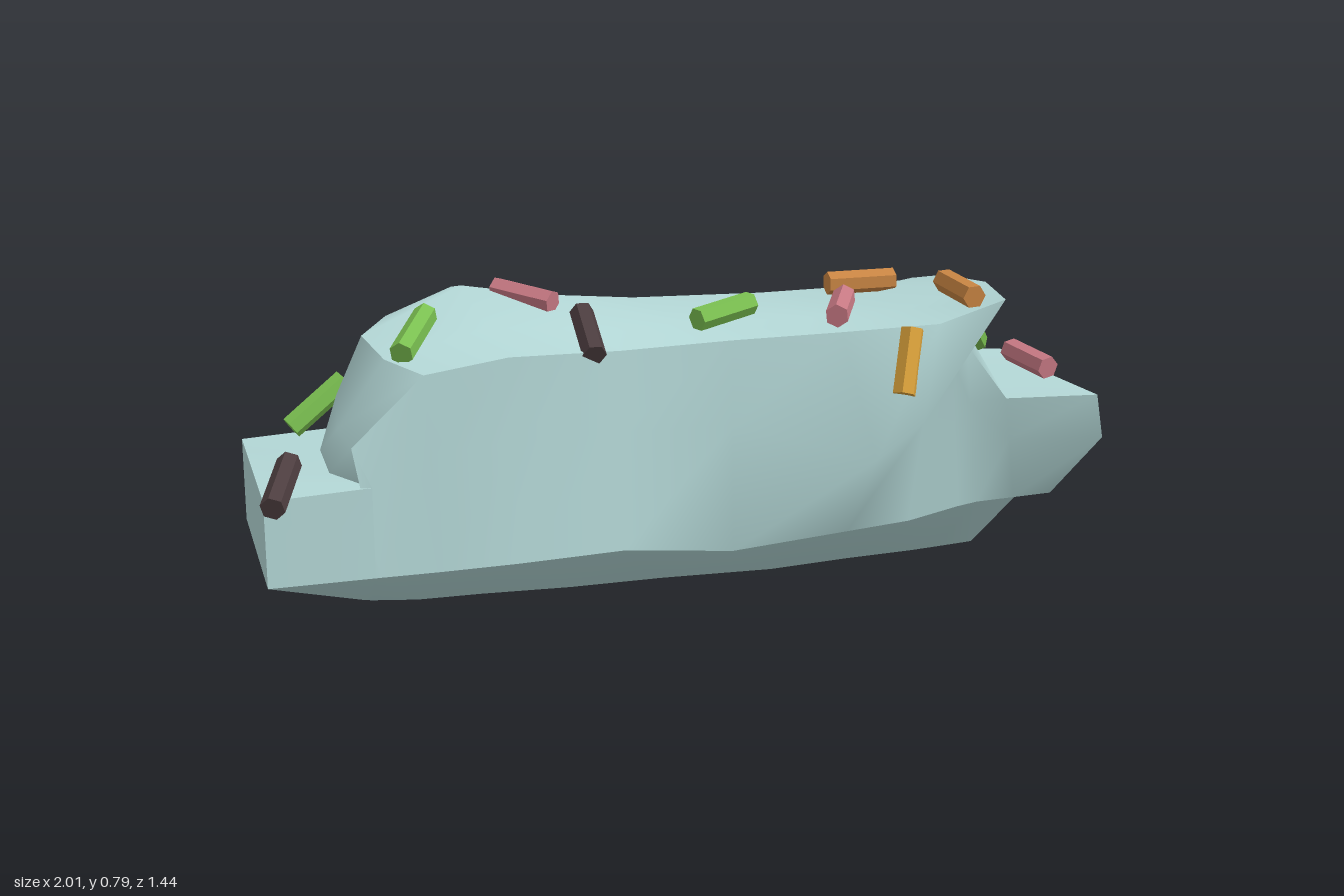
import * as THREE from 'three';

const flat = (name, color, extra = {}) => {
  const m = new THREE.MeshStandardMaterial({ color, ...extra });
  m.name = name;
  return m;
};
const lerp = (a, b, t) => a.map((v, i) => v + (b[i] - v) * t);
const steps = (a, b, ts) => ts.map(t => lerp(a, b, t));

// Smooth patch from rows of points: columns run right, rows run up, seen from outside
function patch(rows) {
  const n = rows[0].length, index = [];
  for (let r = 0; r < rows.length - 1; r++)
    for (let c = 0; c < n - 1; c++) {
      const a = r * n + c;
      index.push(a, a + 1, a + n + 1, a, a + n + 1, a + n);
    }
  const g = new THREE.BufferGeometry();
  g.setAttribute('position', new THREE.Float32BufferAttribute(rows.flat(2), 3));
  g.setIndex(index);
  g.computeVertexNormals();
  return g;
}

// Edge lines of the block, station by station from its right end to its left end
const frontLow = [
  [-0.96, 0.20, -0.28], [-0.75, 0.20, -0.17], [-0.74, 0.20, -0.165], [-0.62, 0.20, -0.10],
  [-0.46, 0.20, -0.02], [-0.20, 0.185, 0.05], [0.07, 0.14, 0.14], [0.26, 0.19, 0.33],
  [0.38, 0.21, 0.42], [0.50, 0.23, 0.47], [0.55, 0.235, 0.49], [0.64, 0.235, 0.53], [0.72, 0.24, 0.58]];
const frontTop = [
  [-0.96, 0.40, -0.28], [-0.75, 0.41, -0.17], [-0.78, 0.50, -0.20], [-0.63, 0.65, -0.13],
  [-0.47, 0.68, -0.03], [-0.20, 0.66, 0.04], [0.08, 0.65, 0.12], [0.26, 0.67, 0.30],
  [0.42, 0.69, 0.46], [0.52, 0.75, 0.57], [0.50, 0.63, 0.48], [0.54, 0.51, 0.57], [0.72, 0.51, 0.70]];
const backLow = [
  [-0.72, 0.20, -0.72], [-0.48, 0.165, -0.64], [-0.45, 0.16, -0.635], [-0.36, 0.155, -0.62],
  [-0.22, 0.15, -0.59], [-0.06, 0.145, -0.49], [0.10, 0.14, -0.38], [0.35, 0.125, -0.24],
  [0.57, 0.11, -0.11], [0.72, 0.15, 0.02], [0.78, 0.18, 0.07], [0.86, 0.19, 0.12], [1.00, 0.20, 0.23]];
const backTop = [
  [-0.72, 0.40, -0.72], [-0.50, 0.41, -0.61], [-0.45, 0.58, -0.54], [-0.42, 0.68, -0.54],
  [-0.22, 0.72, -0.54], [-0.06, 0.68, -0.44], [0.10, 0.66, -0.32], [0.38, 0.655, -0.14],
  [0.57, 0.67, 0.03], [0.73, 0.70, 0.12], [0.74, 0.60, 0.12], [0.82, 0.50, 0.12], [0.95, 0.50, 0.24]];
const bottomY = [0.2, 0.05, 0.045, 0.03, 0.02, 0.005, 0, 0.01, 0.025, 0.035, 0.04, 0.045];

// Inner points (back, front) of the curved step edges
const innerTop = {
  1: [[-0.68, 0.42, -0.46], [-0.77, 0.42, -0.30]],
  2: [[-0.65, 0.55, -0.43], [-0.75, 0.52, -0.29]],
  3: [[-0.58, 0.68, -0.42], [-0.63, 0.66, -0.27]],
  9: [[0.67, 0.74, 0.27], [0.64, 0.75, 0.42]],
  10: [[0.69, 0.62, 0.26], [0.63, 0.62, 0.38]],
  11: [[0.76, 0.50, 0.27], [0.67, 0.50, 0.43]],
  12: [[0.92, 0.50, 0.33], [0.82, 0.505, 0.48]],
};

// Thin six-sided stick between two points
function sprinkle(name, material, a, b) {
  const p = new THREE.Vector3(...a), q = new THREE.Vector3(...b);
  const d = q.clone().sub(p);
  const mesh = new THREE.Mesh(new THREE.CylinderGeometry(0.028, 0.028, d.length(), 6), material);
  mesh.position.copy(p).add(q).multiplyScalar(0.5);
  mesh.quaternion.setFromUnitVectors(new THREE.Vector3(0, 1, 0), d.normalize());
  mesh.name = name;
  return mesh;
}

export function createModel() {
  const group = new THREE.Group();
  group.name = 'sprinkledBlock';
  const ice = flat('paleBlue', 0xb5d9d8, { side: THREE.DoubleSide });
  const add = (name, rows) => {
    const mesh = new THREE.Mesh(patch(rows), ice);
    mesh.name = name;
    group.add(mesh);
  };

  // Long side walls: the front one swells towards its far corner, the back one stands steep
  const frontMid = frontLow.map((p, i) => lerp(p, frontTop[i], 0.6));
  Object.assign(frontMid, {
    7: [0.22, 0.40, 0.45], 8: [0.35, 0.47, 0.48], 9: [0.45, 0.60, 0.48],
    10: [0.48, 0.50, 0.51], 12: [0.72, 0.41, 0.72],
  });
  const backMid = backLow.map((p, i) => {
    const [x, , z] = lerp(p, backTop[i], 0.8);
    return [x, lerp(p, backTop[i], 0.6)[1], z];
  });
  add('frontWall', [frontLow, frontMid, frontTop]);
  add('backWall', [backLow, backMid, backTop].map(r => [...r].reverse()));

  // Top surfaces: low shelf, step, deck with a crest near its back, hollow step, low shelf
  const topRow = i => {
    const b = backTop[i], f = frontTop[i];
    if (innerTop[i]) return [b, ...innerTop[i], f];
    const crest = i > 0 ? 0.035 : 0;
    const [p, q] = steps(b, f, [0.2, 0.67]);
    return [b, [p[0], p[1] + crest, p[2]], [q[0], q[1] + crest * 0.3, q[2]], f];
  };
  const run = (from, to) => Array.from({ length: to - from + 1 }, (_, k) => topRow(from + k));
  add('rightShelf', run(0, 1));
  add('rightStep', run(1, 3));
  add('deck', run(3, 9));
  add('leftStep', run(9, 11));
  add('leftShelf', run(11, 12));

  // End walls
  add('rightEnd', [steps(backLow[0], frontLow[0], [0, 0.2, 0.67, 1]), topRow(0)]);
  const leftLow = [frontLow[12], [0.82, 0.23, 0.46], [0.96, 0.22, 0.33], backLow[12]];
  const leftMid = [frontMid[12], [0.83, 0.41, 0.49], [0.95, 0.41, 0.34], [0.97, 0.40, 0.24]];
  backMid[12].splice(0, 3, ...leftMid[3]);
  add('leftEnd', [leftLow, leftMid, topRow(12).reverse()]);

  // Rounded underside
  const under = bottomY.map((y, i) => {
    const [p, q] = steps(frontLow[i], backLow[i], [0.5, 0.74]);
    return [frontLow[i], [p[0], y, p[2]], [q[0], y, q[2]], backLow[i]];
  });
  add('underside', [...under, leftLow]);

  // Sprinkles
  const sticks = [
    [flat('green', 0x7abf50, { flatShading: true }), [
      [[-0.64, 0.43, -0.63], [-0.51, 0.53, -0.59]],
      [[-0.62, 0.68, -0.22], [-0.47, 0.73, -0.32]],
      [[0.05, 0.69, 0.035], [0.22, 0.705, 0.045]],
      [[0.72, 0.62, 0.31], [0.84, 0.54, 0.25]]]],
    [flat('darkBrown', 0x4c3d3f, { flatShading: true }), [
      [[-0.99, 0.41, -0.20], [-0.86, 0.46, -0.32]],
      [[-0.27, 0.66, 0.03], [-0.20, 0.73, -0.09]]]],
    [flat('pink', 0xc67883, { flatShading: true }), [
      [[-0.155, 0.72, -0.24], [-0.195, 0.735, -0.40]],
      [[0.23, 0.715, 0.31], [0.37, 0.725, 0.21]],
      [[0.70, 0.555, 0.57], [0.75, 0.565, 0.42]]]],
    [flat('orange', 0xc98543, { flatShading: true }), [
      [[0.41, 0.735, 0.12], [0.56, 0.735, 0.20]],
      [[0.455, 0.76, 0.53], [0.53, 0.765, 0.38]]]],
    [flat('amber', 0xd8a03a, { flatShading: true }), [
      [[0.31, 0.54, 0.45], [0.37, 0.68, 0.42]],
      [[0.60, 0.69, 0.055], [0.57, 0.54, -0.015]]]],
  ];
  for (const [material, ends] of sticks)
    ends.forEach(([a, b], i) => group.add(sprinkle(`${material.name}Sprinkle${i + 1}`, material, a, b)));
  return group;
}
